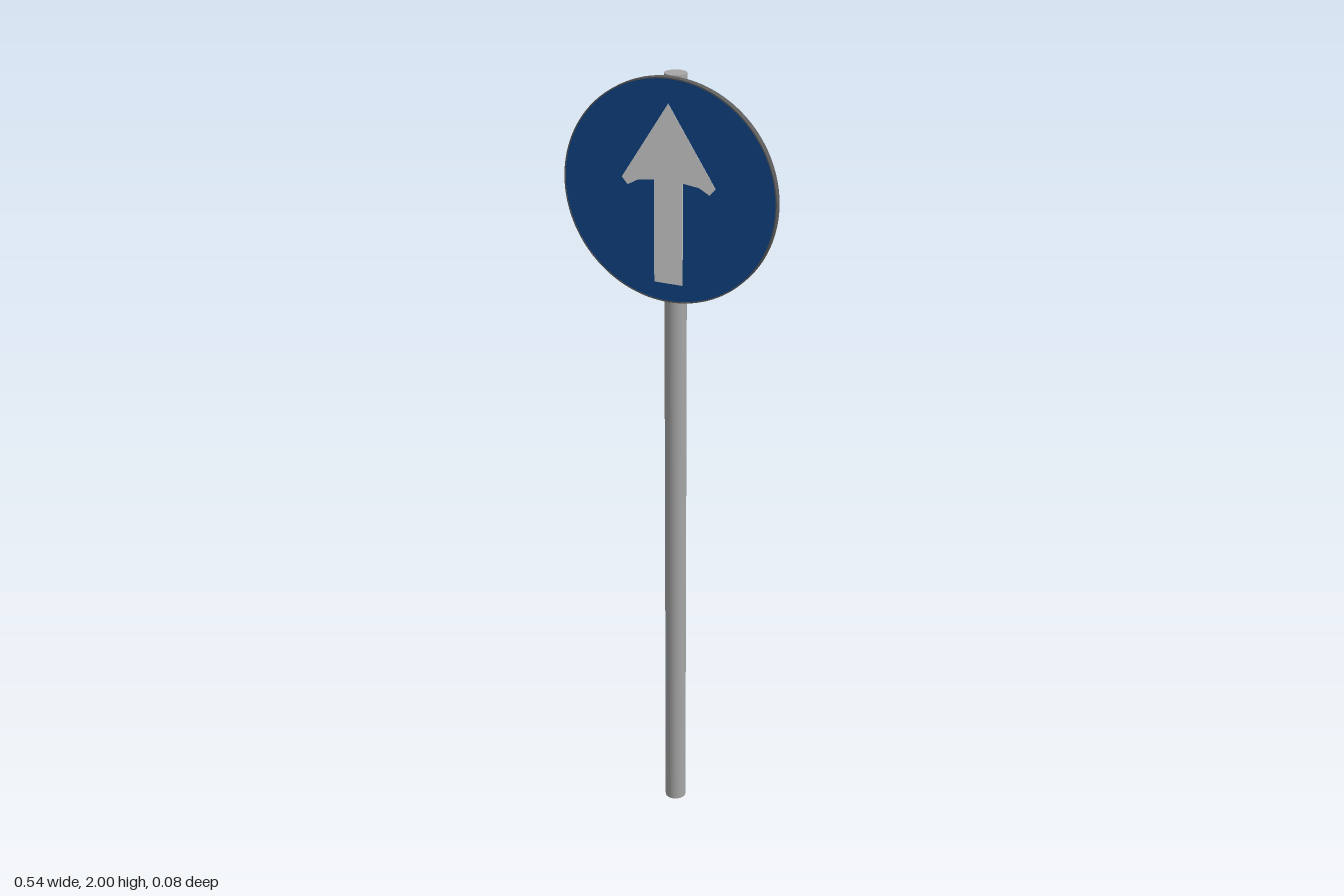
import * as THREE from 'three';

const POLE = { x: -0.003, z: -0.011, r: 0.027 };
const SIGN = { y: 1.728, r: 0.272, back: 0.02, front: 0.037 };

const material = (name, color, side = THREE.FrontSide) => {
  const m = new THREE.MeshStandardMaterial({ color, side });
  m.name = name;
  return m;
};

// Thin bent strip following the pole's back and flaring onto the sign
function clampGeometry(height, thickness) {
  const half = [];
  for (let i = 0; i <= 12; i++) {
    const a = (i / 12) * Math.PI / 2;
    half.push(new THREE.Vector2(Math.sin(a) * 0.0285, POLE.z - Math.cos(a) * 0.0285));
  }
  const flare = new THREE.CubicBezierCurve(
    new THREE.Vector2(0.0285, POLE.z), new THREE.Vector2(0.03, 0.006),
    new THREE.Vector2(0.042, 0.019), new THREE.Vector2(0.067, 0.019));
  half.push(...flare.getPoints(10).slice(1));
  const line = [...half.slice(1).reverse().map(p => new THREE.Vector2(-p.x, p.y)), ...half];

  // Offset the centre line to both sides
  const offset = d => line.map((p, i) => {
    const t = line[Math.min(i + 1, line.length - 1)].clone().sub(line[Math.max(i - 1, 0)]).normalize();
    return new THREE.Vector2(p.x - t.y * d, p.y + t.x * d);
  });
  const shape = new THREE.Shape([...offset(-thickness / 2), ...offset(thickness / 2).reverse()]);
  const geo = new THREE.ExtrudeGeometry(shape, { depth: height, bevelEnabled: false });
  return geo.translate(0, 0, -height / 2).rotateX(Math.PI / 2);
}

export function createModel() {
  const group = new THREE.Group();
  group.name = 'roadSign';
  const steel = material('poleGrey', 0xa6a6a6);
  const dark = material('darkMetal', 0x5c5c5c);
  const blue = material('signBlue', 0x0f4488, THREE.DoubleSide);
  const white = material('arrowWhite', 0xd8d8d8);

  const add = (name, geometry, mat, x, y, z) => {
    const mesh = new THREE.Mesh(geometry, mat);
    mesh.name = name;
    mesh.position.set(x, y, z);
    group.add(mesh);
    return mesh;
  };

  // Pole
  add('pole', new THREE.CylinderGeometry(POLE.r, POLE.r, 2, 32), steel, POLE.x, 1, POLE.z);

  // Rim, a hollow ring open towards the back
  const ring = new THREE.Shape().absarc(0, 0, SIGN.r, 0, Math.PI * 2);
  ring.holes.push(new THREE.Path().absarc(0, 0, SIGN.r - 0.003, 0, Math.PI * 2, true));
  add('rim', new THREE.ExtrudeGeometry(ring, {
    depth: SIGN.front - SIGN.back, bevelEnabled: false, curveSegments: 64,
  }), dark, 0, SIGN.y, SIGN.back);

  // Blue face, seen from both sides
  add('signFace', new THREE.CircleGeometry(SIGN.r - 0.002, 64), blue, 0, SIGN.y, SIGN.front - 0.001);

  // Arrow plate, standing out slightly on both sides of the face
  const right = [[0.12, 1.752], [0.105, 1.735], [0.078, 1.75], [0.037, 1.755], [0.037, 1.503]];
  const left = right.map(([x, y]) => [-x, y]).reverse();
  const arrow = new THREE.Shape([[0, 1.94], ...right, ...left].map(p => new THREE.Vector2(...p)));
  add('arrow', new THREE.ExtrudeGeometry(arrow, { depth: 0.002, bevelEnabled: false }),
    white, 0, 0, SIGN.front - 0.002);

  // Two clamps holding the sign to the pole
  const clamp = clampGeometry(0.02, 0.002);
  for (const [name, y] of [['upperClamp', 1.914], ['lowerClamp', 1.549]]) {
    add(name, clamp, dark, POLE.x, y, 0);
  }
  return group;
}
